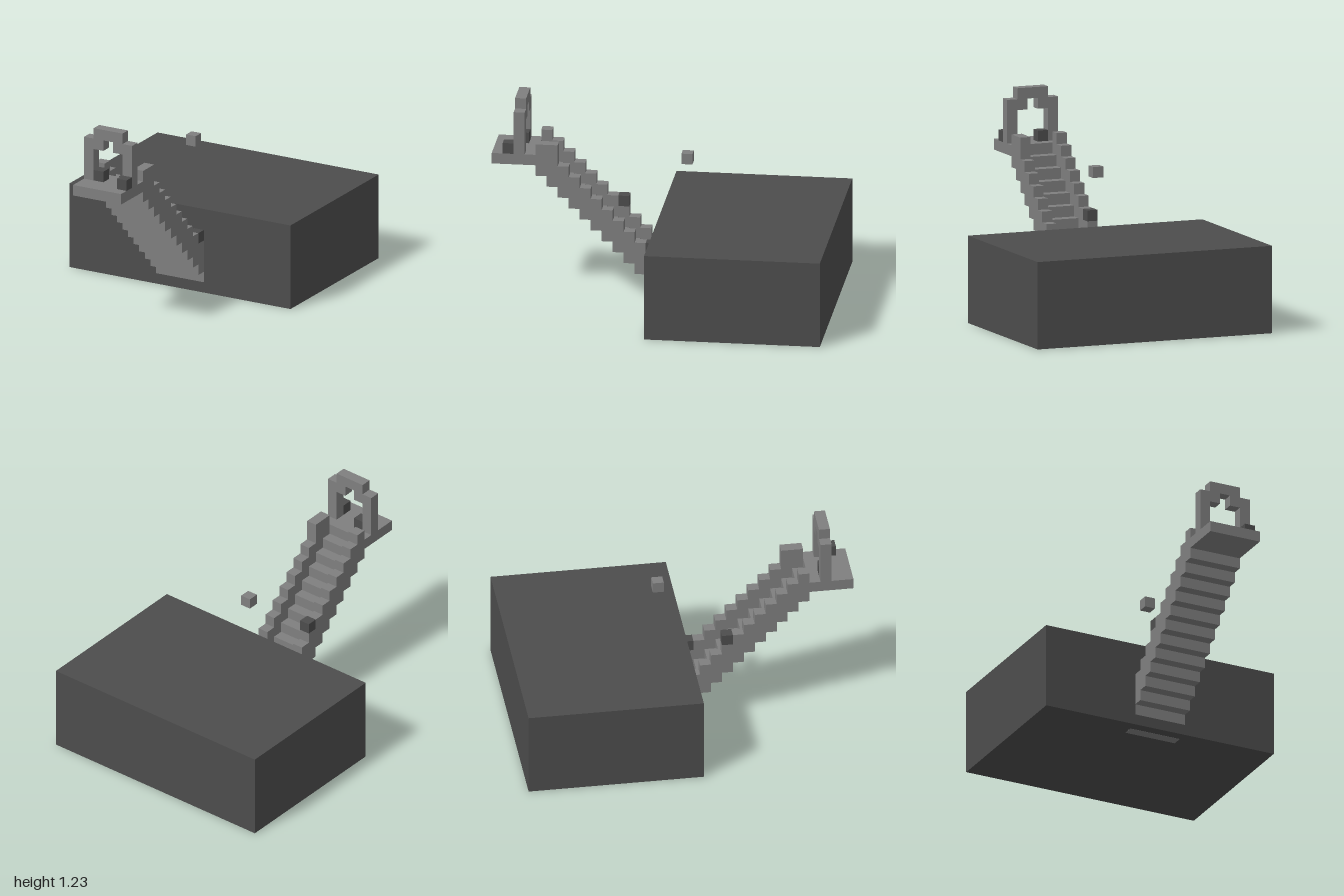
import * as THREE from 'three';

const U = 2 / 31; // edge of one block

export function createModel() {
  const model = new THREE.Group();
  const stone = new THREE.MeshStandardMaterial({ color: 0x7f7f7f });
  stone.name = 'light stone';
  const dark = new THREE.MeshStandardMaterial({ color: 0x4d4d4d });
  dark.name = 'dark stone';

  // Block-grid cuboid: x centred on 0, y from the ground, z from the back.
  function block(name, mat, x0, x1, y0, y1, z0, z1, parent = model) {
    const mesh = new THREE.Mesh(
      new THREE.BoxGeometry((x1 - x0) * U, (y1 - y0) * U, (z1 - z0) * U), mat);
    mesh.position.set((x0 + x1) / 2 * U, (y0 + y1) / 2 * U, (z0 + z1) / 2 * U - 1);
    mesh.name = name;
    parent.add(mesh);
    return mesh;
  }
  function group(name) {
    const g = new THREE.Group();
    g.name = name;
    model.add(g);
    return g;
  }

  // Large base, a hair short at the front and bottom so the embedded stair shows flush
  block('base', dark, -11.5, 11.5, 0.01, 8, 0, 15.99);

  // Staircase rising out of the base: one-block treads between three-block walls
  const stairs = group('staircase');
  for (let k = 14; k <= 26; k++) {
    block('tread', stone, -1.5, 1.5, k - 14, k - 13, k, k + 1, stairs);
    for (const side of [-1, 1]) {
      const x = side * 2;
      const top = side > 0 && k === 25 ? 15 : k - 11;
      block(side > 0 ? 'leftWall' : 'rightWall', stone,
        x - 0.5, x + 0.5, k - 14, top, k, k + 1, stairs);
    }
  }

  // Landing at the top
  block('landing', stone, -2.5, 2.5, 13, 14, 27, 31);

  // Archway standing on the landing
  const arch = group('archway');
  for (const s of [-1, 1]) {
    block('archPost', stone, s * 2 - 0.5, s * 2 + 0.5, 14, 18, 28, 29, arch);
    block('archShoulder', stone, s - 0.5, s + 0.5, 17, 18, 28, 29, arch);
  }
  block('archTop', stone, -1.5, 1.5, 18, 19, 28, 29, arch);

  // Loose dark blocks on the walls and landing: [x, y, z]
  for (const [x, y, z] of [[2, 5, 16], [-2, 8, 19], [-1, 14, 28], [2, 14, 29]]) {
    block('darkBlock', dark, x - 0.5, x + 0.5, y, y + 1, z, z + 1);
  }

  // Single block floating above the base
  block('floatingBlock', stone, -0.5, 0.5, 13, 14, 13, 14);

  return model;
}
